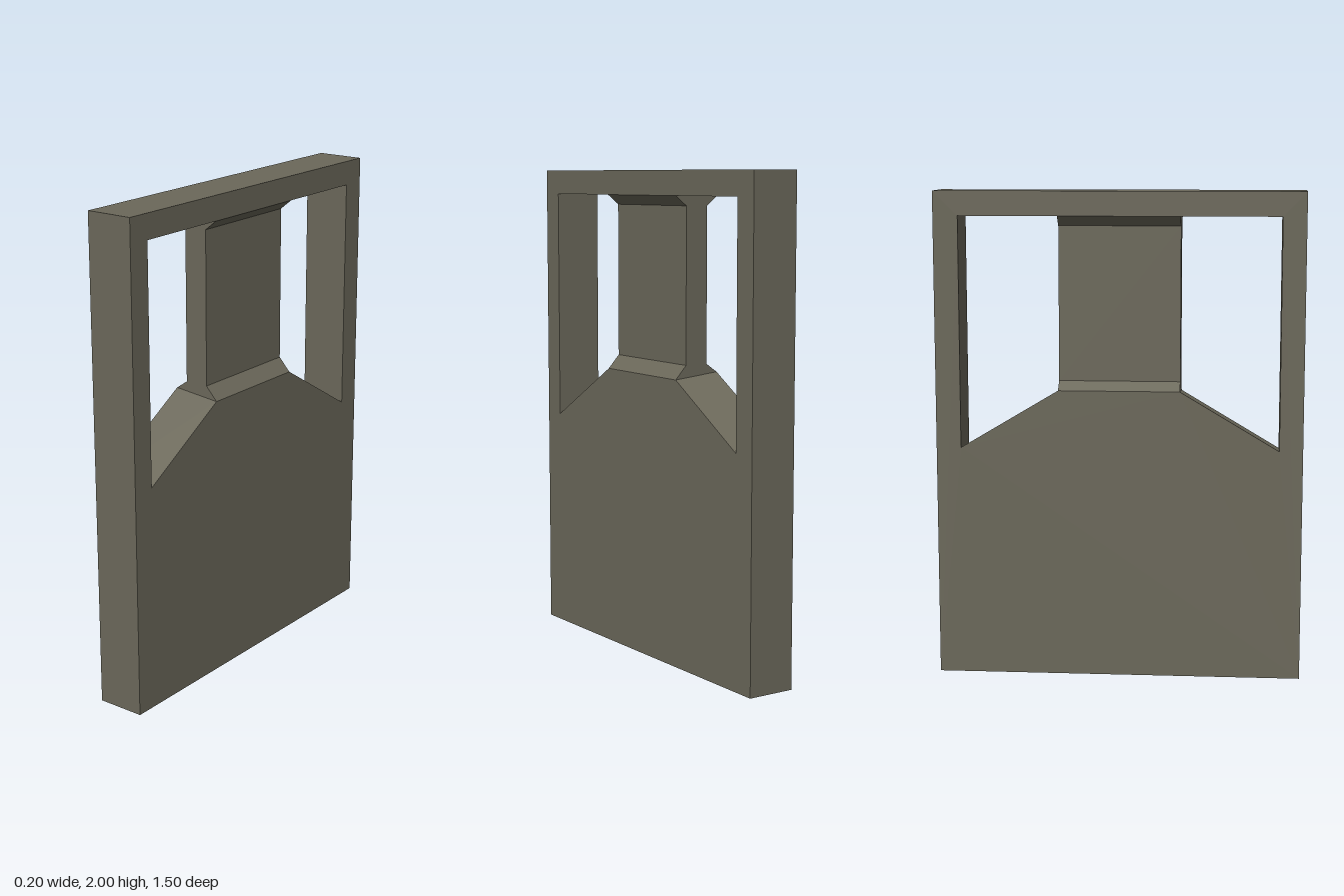
import * as THREE from 'three';

const THICK = 0.2;

function outline(points, Type = THREE.Shape) {
  return new Type(points.map(([x, y]) => new THREE.Vector2(x, y)));
}

export function createModel() {
  const group = new THREE.Group();
  group.name = 'windowedWallPanel';
  const stone = new THREE.MeshStandardMaterial({ color: 0x6b685a });
  stone.name = 'olive grey stone';

  // Solid slab with one opening, drawn in (-z, y) and extruded across x
  const slab = outline([[-0.75, 0], [0.75, 0], [0.75, 2], [-0.75, 2]]);
  slab.holes.push(outline([
    [-0.654, 0.935], [-0.654, 1.9], [0.649, 1.9], [0.649, 0.935], [0.247, 1.175], [-0.249, 1.175],
  ], THREE.Path));
  const slabGeo = new THREE.ExtrudeGeometry(slab, { depth: THICK, bevelEnabled: false });
  slabGeo.rotateY(Math.PI / 2).translate(-THICK / 2, 0, 0);

  // Tilt the sills: their -x edge is slightly higher
  const pos = slabGeo.attributes.position;
  for (let i = 0; i < pos.count; i++) {
    const y = pos.getY(i);
    if (pos.getX(i) < 0 && y > 0.5 && y < 1.5) pos.setY(i, y + 0.02);
  }
  slabGeo.computeVertexNormals();
  const frame = new THREE.Mesh(slabGeo, stone);
  frame.name = 'frame';
  group.add(frame);

  // Thinner central pier, flared to the full thickness at both ends
  const pier = outline([
    [-0.1, 1.195], [0.1, 1.175], [0.05, 1.23], [0.05, 1.86],
    [0.1, 1.9], [-0.1, 1.9], [-0.05, 1.86], [-0.05, 1.23],
  ]);
  const pierGeo = new THREE.ExtrudeGeometry(pier, { depth: 0.496, bevelEnabled: false });
  pierGeo.translate(0, 0, -0.247);
  const centralPier = new THREE.Mesh(pierGeo, stone);
  centralPier.name = 'centralPier';
  group.add(centralPier);

  return group;
}
